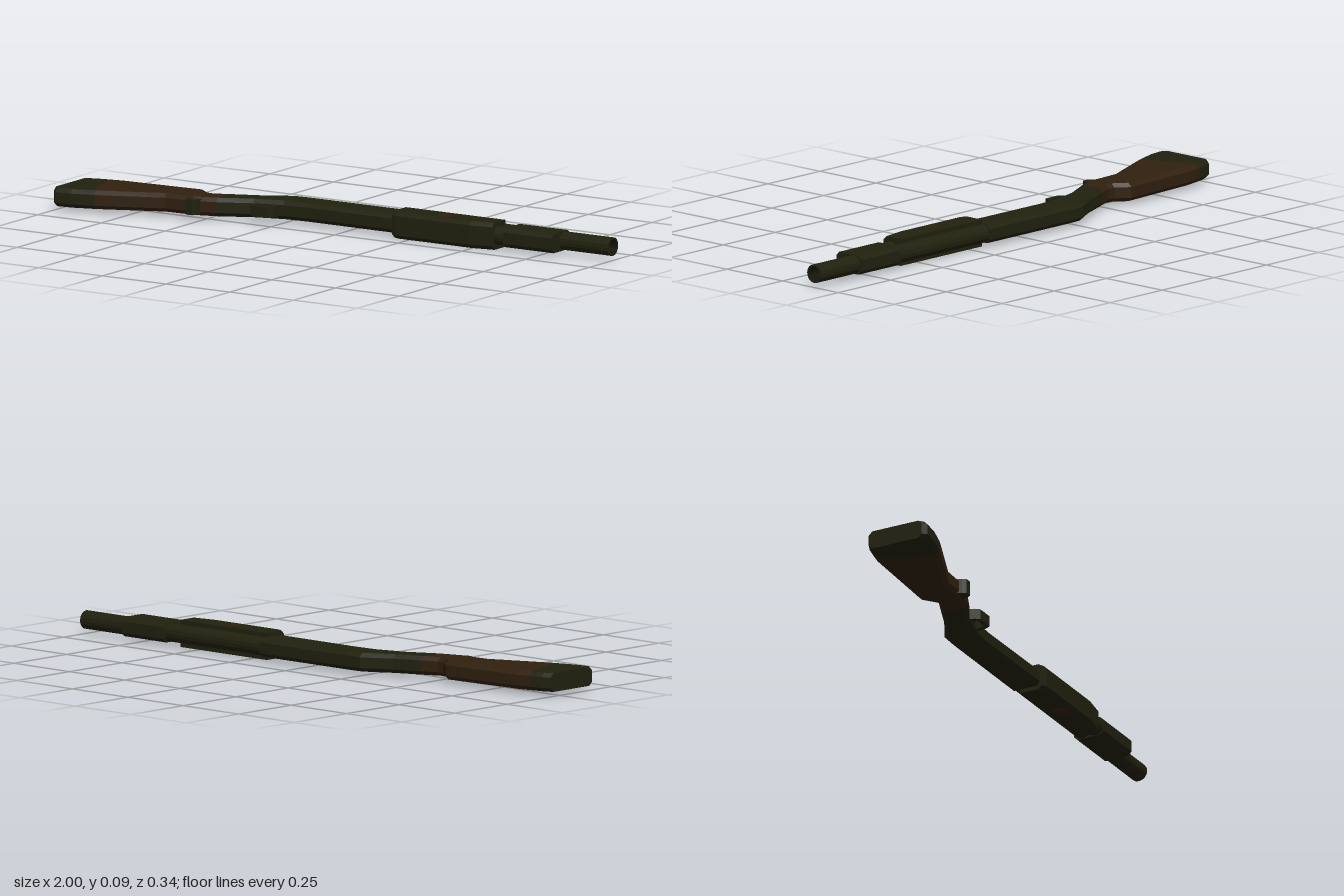
import * as THREE from 'three';

const MID = 0.049; // height of the centre plane; the gun lies on its side

const mat = {
  metal: new THREE.MeshStandardMaterial({ name: 'olive metal', color: 0x21210f }),
  wood: new THREE.MeshStandardMaterial({ name: 'brown wood', color: 0x30200f }),
  dark: new THREE.MeshStandardMaterial({ name: 'dark bore', color: 0x14140a }),
};

// Chamfered octagon section; station = [xTop, zTop, xBottom, zBottom]
function ring([xt, zt, xb, zb], h, ct, cb) {
  const pts = [
    [zt + ct, -h], [zt, -h + ct], [zt, h - ct], [zt + ct, h],
    [zb - cb, h], [zb, h - cb], [zb, -h + cb], [zb - cb, -h],
  ];
  return pts.map(([z, y]) => [xt + (xb - xt) * (z - zt) / (zb - zt), MID + y, z]);
}

// Flat-sided body through the stations, closed at both ends
function loft(name, material, stations, h = 0.031, ct = 0.013, cb = 0.013) {
  const rings = stations.map(s => ring(s, h, ct, cb));
  const pos = [];
  const tri = (...p) => p.forEach(v => pos.push(...v));
  for (let i = 0; i < rings.length - 1; i++) {
    const r = rings[i], s = rings[i + 1];
    for (let j = 0; j < 8; j++) {
      const k = (j + 1) % 8;
      tri(r[j], r[k], s[k]);
      tri(r[j], s[k], s[j]);
    }
  }
  const a = rings[0], b = rings[rings.length - 1];
  for (let j = 1; j < 7; j++) {
    tri(a[0], a[j + 1], a[j]);
    tri(b[0], b[j], b[j + 1]);
  }
  const g = new THREE.BufferGeometry();
  g.setAttribute('position', new THREE.Float32BufferAttribute(pos, 3));
  g.computeVertexNormals();
  return named(name, g, material);
}

function named(name, geometry, material) {
  const m = new THREE.Mesh(geometry, material);
  m.name = name;
  return m;
}

// Plate drawn in plan (x, z), centred on the middle plane
function plate(name, material, outline, depth, hole) {
  const toPts = l => l.map(p => new THREE.Vector2(p[0], p[1]));
  const shape = new THREE.Shape(toPts(outline));
  if (hole) shape.holes.push(new THREE.Path(toPts(hole)));
  const g = new THREE.ExtrudeGeometry(shape, { depth, bevelEnabled: false });
  g.rotateX(Math.PI / 2).translate(0, MID + depth / 2, 0);
  return named(name, g, material);
}

// Turned part along x; profile = [radius, x]
function turned(name, material, profile, z) {
  const g = new THREE.LatheGeometry(profile.map(p => new THREE.Vector2(...p)), 16);
  g.rotateZ(-Math.PI / 2).translate(0, MID, z);
  const flat = g.toNonIndexed();
  flat.computeVertexNormals();
  return named(name, flat, material);
}

export function createModel() {
  const gun = new THREE.Group();
  gun.name = 'shotgun';

  // Stock: butt, wooden shoulder and wrist
  gun.add(loft('butt', mat.metal, [
    [-1, -0.042, -1, 0.155], [-0.97, -0.055, -0.985, 0.169],
    [-0.95, -0.06, -0.93, 0.163], [-0.93, -0.065, -0.85, 0.14],
  ]));
  gun.add(loft('stock', mat.wood, [
    [-0.93, -0.065, -0.85, 0.14], [-0.88, -0.075, -0.8, 0.12],
    [-0.72, -0.084, -0.63, 0.05], [-0.575, -0.092, -0.56, 0.046],
    [-0.53, -0.058, -0.53, 0.046], [-0.505, -0.055, -0.5, 0.038],
    [-0.45, -0.078, -0.45, 0.022],
  ]));
  gun.add(plate('gripKnob', mat.metal, [
    [-0.555, 0.035], [-0.5, 0.03], [-0.507, 0.055], [-0.515, 0.068], [-0.538, 0.068], [-0.546, 0.055],
  ], 0.05));

  // Receiver, sloping down into the wrist
  gun.add(loft('receiver', mat.metal, [
    [-0.45, -0.078, -0.45, 0.022], [-0.36, -0.115, -0.34, -0.03],
    [-0.26, -0.169, -0.24, -0.058], [-0.2, -0.172, -0.15, -0.064], [0.19, -0.172, 0.19, -0.062],
  ]));

  // Trigger and its guard
  gun.add(plate('triggerGuard', mat.metal, [
    [-0.35, -0.04], [-0.25, -0.07], [-0.252, -0.02], [-0.262, 0.001], [-0.325, 0.001], [-0.337, -0.012],
  ], 0.036, [
    [-0.33, -0.04], [-0.322, -0.012], [-0.272, -0.012], [-0.265, -0.03], [-0.265, -0.055],
  ]));
  gun.add(plate('trigger', mat.metal, [
    [-0.315, -0.05], [-0.295, -0.055], [-0.298, -0.03], [-0.308, -0.014], [-0.315, -0.014], [-0.308, -0.03],
  ], 0.014));

  // Barrel with open muzzle, and magazine tube beneath it
  gun.add(turned('barrel', mat.metal, [[0.031, 0.15], [0.031, 1], [0.025, 1]], -0.141));
  gun.add(turned('bore', mat.dark, [[0.025, 1], [0.025, 0.9], [0, 0.9]], -0.141));
  gun.add(turned('magazineTube', mat.metal, [[0.031, 0.15], [0.031, 0.8], [0, 0.8]], -0.094));

  // Band joining barrel and magazine
  gun.add(loft('barrelBand', mat.metal, [[0.62, -0.174, 0.62, -0.063], [0.81, -0.174, 0.81, -0.063]], 0.032));

  // Sliding fore-end with brown patches on both sides
  gun.add(loft('foreEnd', mat.metal, [
    [0.19, -0.137, 0.19, -0.055], [0.21, -0.137, 0.21, -0.046],
    [0.5, -0.137, 0.5, -0.046], [0.58, -0.137, 0.58, -0.06],
  ], 0.045, 0, 0.013));
  for (const side of [-1, 1]) {
    const patch = named('foreEndPatch', new THREE.BoxGeometry(0.05, 0.002, 0.045), mat.wood);
    patch.position.set(0.38, MID + side * 0.045, -0.088);
    gun.add(patch);
  }
  return gun;
}
